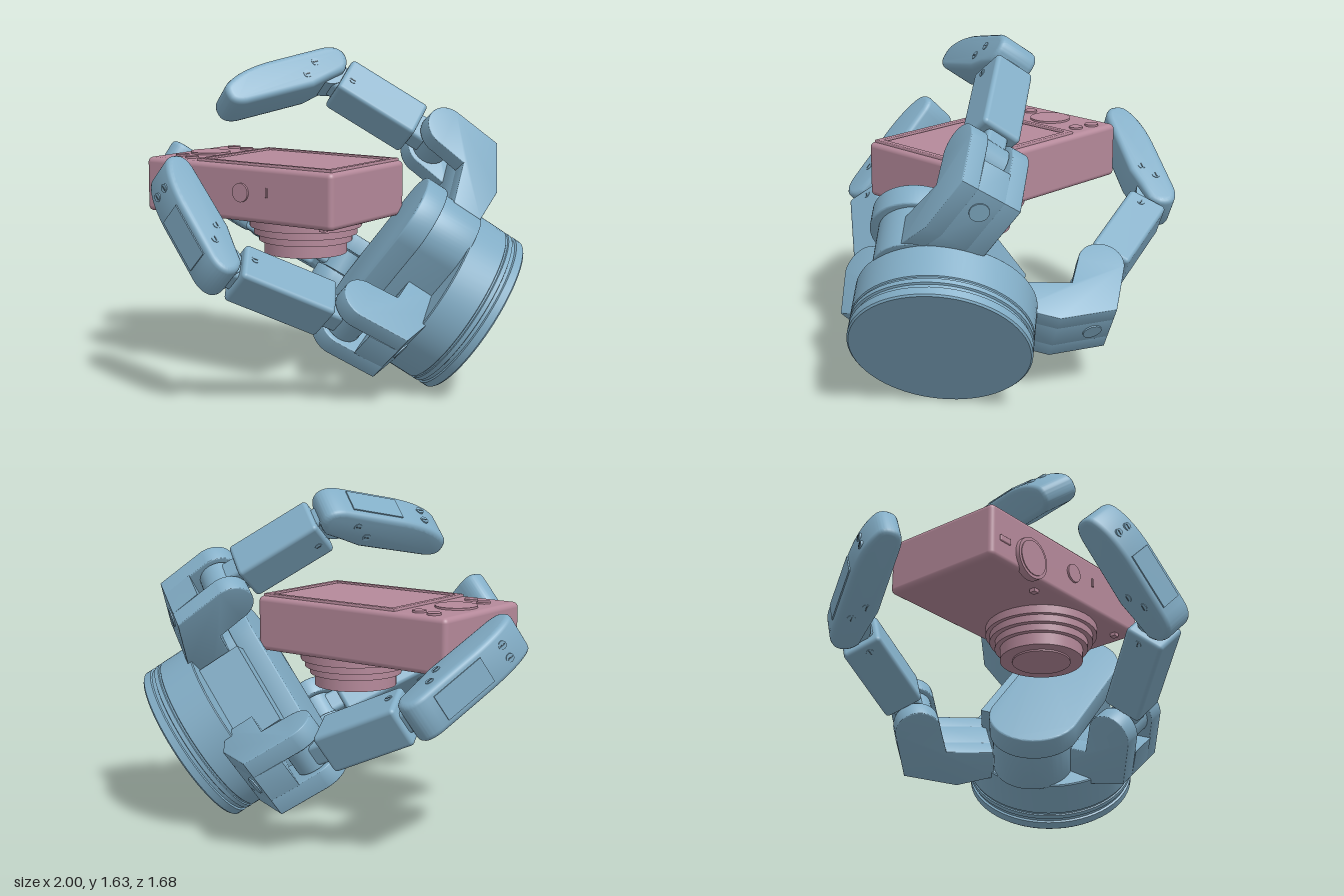
import * as THREE from 'three';
import { toCreasedNormals } from 'three/addons/utils/BufferGeometryUtils.js';
import { RoundedBoxGeometry } from 'three/addons/geometries/RoundedBoxGeometry.js';

const V = (x, y, z) => new THREE.Vector3(x, y, z);
const blue = new THREE.MeshStandardMaterial({ color: 0x82adc6 });
const pink = new THREE.MeshStandardMaterial({ color: 0xb5899a });
const dark = new THREE.MeshStandardMaterial({ color: 0x4a6270 });

// Hand axis: from the centre of the base's outer face towards the fingers
const AXIS = V(-0.66, 0.55, 0.51).normalize();
const BASE = V(0.69, 0.35, -0.43);

function add(parent, name, geometry, material, x = 0, y = 0, z = 0) {
  const mesh = new THREE.Mesh(geometry, material);
  mesh.name = name;
  mesh.position.set(x, y, z);
  parent.add(mesh);
  return mesh;
}

// Group with the given origin and local x and y directions
function frame(name, origin, xDir, yDir) {
  const g = new THREE.Group();
  const x = xDir.clone().normalize();
  const z = x.clone().cross(yDir).normalize();
  const y = z.clone().cross(x);
  g.name = name;
  g.quaternion.setFromRotationMatrix(new THREE.Matrix4().makeBasis(x, y, z));
  g.position.copy(origin);
  return g;
}

// Extrusion centred on local z, with rounded edges
function slab(shape, width, bevel) {
  const g = new THREE.ExtrudeGeometry(shape, {
    depth: width - 2 * bevel, bevelThickness: bevel, bevelSize: bevel,
    bevelOffset: -bevel, bevelSegments: 3, curveSegments: 16,
  });
  g.translate(0, 0, -width / 2 + bevel);
  return toCreasedNormals(g, 0.6);
}

function pin(parent, x, y, z, r, depth, alongZ) {
  const m = add(parent, 'screw', new THREE.CylinderGeometry(r, r, depth, 16), blue, x, y, z);
  const slot = add(parent, 'screwSlot', new THREE.BoxGeometry(r * 1.3, depth + 0.004, r * 0.3), dark, x, y, z);
  if (alongZ) m.rotation.x = slot.rotation.x = Math.PI / 2;
}

function makeFinger(name, j1, j2, tip) {
  const finger = new THREE.Group();
  finger.name = name;
  const u = j2.clone().sub(j1), v = tip.clone().sub(j2);
  const hinge = u.clone().cross(v).normalize();
  const out = hinge.clone().cross(AXIS);
  if (out.dot(j1.clone().sub(BASE)) < 0) out.negate();

  // Knuckle: wedge forming a fork with round prongs at the first joint
  const knuckle = frame('knuckle', j1, out, AXIS);
  const lower = [[-0.13, -0.14], [-0.36, -0.18], [-0.36, -0.33], [-0.17, -0.35], [0.085, -0.25]];
  const prong = new THREE.Shape();
  prong.absarc(0, 0, 0.11, 0, Math.PI, false);
  lower.forEach(p => prong.lineTo(...p));
  prong.closePath();
  const core = new THREE.Shape([...lower, [0.105, -0.1]].map(p => new THREE.Vector2(...p)));
  for (const s of [-1, 1]) add(knuckle, 'knuckleProng', slab(prong, 0.09, 0.005), blue, 0, 0, s * 0.11);
  add(knuckle, 'knuckleCore', slab(core, 0.14, 0.001), blue);
  add(knuckle, 'knuckleCap', new THREE.CylinderGeometry(0.045, 0.045, 0.012, 24), blue, 0, -0.284, 0).rotation.z = 0.38;
  finger.add(knuckle);

  // Middle link: box with narrow joint necks
  const L = u.length();
  const link = frame('middleLink', j1, u, hinge.clone().cross(u));
  add(link, 'linkBody', new RoundedBoxGeometry(L - 0.2, 0.195, 0.2, 3, 0.02), blue, L / 2 + 0.02, 0, 0);
  add(link, 'linkNeck', new RoundedBoxGeometry(L, 0.14, 0.11, 2, 0.02), blue, L / 2, 0, 0);
  for (const x of [0, L]) {
    add(link, 'jointBarrel', new THREE.CylinderGeometry(0.09, 0.09, 0.12, 24), blue, x, 0, 0).rotation.x = Math.PI / 2;
  }
  for (const s of [-1, 1]) pin(link, L - 0.13, 0.02, s * 0.1, 0.018, 0.006, true);
  finger.add(link);

  // Fingertip: tapering, with a cover plate on its back
  const T = v.length();
  const end = frame('fingertip', j2, v, hinge.clone().cross(v));
  const t = new THREE.Shape();
  t.moveTo(0, -0.1);
  t.lineTo(T * 0.55, -0.1);
  t.quadraticCurveTo(T * 0.85, -0.095, T, -0.045);
  t.quadraticCurveTo(T + 0.04, -0.02, T + 0.025, 0.04);
  t.quadraticCurveTo(T + 0.01, 0.075, T - 0.05, 0.08);
  t.lineTo(0.14, 0.085);
  t.lineTo(0.04, 0.065);
  t.lineTo(-0.05, 0.05);
  t.quadraticCurveTo(-0.11, 0.01, -0.095, -0.05);
  t.quadraticCurveTo(-0.075, -0.097, 0, -0.1);
  add(end, 'fingertipBody', slab(t, 0.2, 0.025), blue);
  add(end, 'backCover', new THREE.BoxGeometry(0.27, 0.012, 0.13), blue, 0.17, -0.1, 0);
  for (const s of [-1, 1]) {
    pin(end, 0.08, -0.03, s * 0.1, 0.02, 0.006, true);
    pin(end, 0.15, 0.02, s * 0.1, 0.02, 0.006, true);
    pin(end, T * 0.8, -0.082, s * 0.035, 0.02, 0.02, false);
  }
  finger.add(end);
  return finger;
}

function makeHand() {
  const hand = new THREE.Group();
  hand.name = 'gripper';
  const body = frame('palmAssembly', BASE, V(0.645, 0.763, 0.01), AXIS);

  // Round base with a shallow groove near its outer face
  const profile = [[0, -0.005], [0.408, -0.005], [0.416, 0.003], [0.416, 0.04], [0.406, 0.044], [0.406, 0.06],
    [0.416, 0.064], [0.416, 0.085], [0.41, 0.088], [0.41, 0.096], [0.416, 0.1], [0.416, 0.265], [0.411, 0.27], [0, 0.27]];
  const lathe = new THREE.LatheGeometry(profile.map(p => new THREE.Vector2(...p)), 64);
  add(body, 'base', toCreasedNormals(lathe, 0.5), blue);

  // Palm: long round-ended plate on a narrower block
  const stadium = (half, r) => {
    const s = new THREE.Shape();
    s.absarc(half, 0, r, -Math.PI / 2, Math.PI / 2, false);
    s.absarc(-half, 0, r, Math.PI / 2, Math.PI * 1.5, false);
    s.closePath();
    return s;
  };
  add(body, 'palmPlate', slab(stadium(0.255, 0.22), 0.11, 0.008), blue, 0, 0.525, 0.035).rotation.x = Math.PI / 2;
  add(body, 'palmBlock', slab(stadium(0.25, 0.195), 0.22, 0.005), blue, 0, 0.37, 0.02).rotation.x = Math.PI / 2;
  add(body, 'palmBackBlock', new THREE.BoxGeometry(0.42, 0.24, 0.3), blue, 0, 0.37, -0.13);
  hand.add(body);

  hand.add(
    makeFinger('upperFinger', V(0.44, 1.17, -0.47), V(-0.005, 1.5, -0.17), V(-0.22, 1.395, 0.33)),
    makeFinger('thumb', V(-0.18, 0.48, -0.59), V(-0.74, 0.735, -0.48), V(-0.935, 1.03, -0.08)),
    makeFinger('frontFinger', V(0.42, 0.42, 0.245), V(0.04, 0.7, 0.72), V(-0.32, 1.08, 0.65)),
  );
  return hand;
}

function makeCamera() {
  const cam = new THREE.Group();
  cam.name = 'camera';
  const disc = (name, r, h, x, y, z) => add(cam, name, new THREE.CylinderGeometry(r, r, h, 40), pink, x, y, z);
  add(cam, 'cameraBody', new RoundedBoxGeometry(1.1, 0.265, 0.62, 4, 0.025), pink, -0.155, 0.965, 0.043);

  // Stepped lens pointing down
  [[0.27, 0.83, 0.79], [0.25, 0.81, 0.755], [0.225, 0.78, 0.72], [0.2, 0.75, 0.66]].forEach(([r, top, bottom]) =>
    disc('lensRing', r, top - bottom, 0.03, (top + bottom) / 2, 0.04));
  disc('lensGlass', 0.14, 0.01, 0.03, 0.657, 0.04);

  // Screen with a raised frame
  const rim = new THREE.Shape([[-0.39, -0.285], [0.39, -0.285], [0.39, 0.285], [-0.39, 0.285]].map(p => new THREE.Vector2(...p)));
  rim.holes.push(new THREE.Path([[-0.36, -0.255], [-0.36, 0.255], [0.36, 0.255], [0.36, -0.255]].map(p => new THREE.Vector2(...p))));
  add(cam, 'screenFrame', slab(rim, 0.03, 0.004), pink, -0.015, 1.095, 0.043).rotation.x = -Math.PI / 2;
  add(cam, 'screen', new THREE.BoxGeometry(0.7, 0.01, 0.49), pink, -0.015, 1.098, 0.043);

  // Dial and buttons
  disc('dial', 0.1, 0.02, -0.555, 1.097, 0.04);
  for (const [x, z] of [[-0.595, -0.2], [-0.5, -0.18], [-0.595, 0.21], [-0.5, 0.25]]) {
    disc('button', 0.033, 0.02, x, 1.097, z);
  }

  // Side controls
  disc('zoomDial', 0.1, 0.036, -0.44, 0.915, 0.355).rotation.x = Math.PI / 2;
  disc('zoomDialCap', 0.085, 0.044, -0.44, 0.915, 0.355).rotation.x = Math.PI / 2;
  disc('shutterButton', 0.045, 0.016, -0.12, 0.97, 0.355).rotation.x = Math.PI / 2;
  add(cam, 'powerSwitch', new RoundedBoxGeometry(0.07, 0.03, 0.012, 2, 0.005), pink, -0.615, 0.94, 0.355);
  add(cam, 'indicator', new RoundedBoxGeometry(0.012, 0.045, 0.008, 2, 0.003), pink, 0.03, 0.98, 0.355);
  for (const x of [-0.32, 0.3]) add(cam, 'foot', new THREE.BoxGeometry(0.03, 0.02, 0.03), pink, x, 0.825, 0.28);
  return cam;
}

export function createModel() {
  const model = new THREE.Group();
  model.name = 'gripperHoldingCamera';
  model.add(makeHand(), makeCamera());
  return model;
}
